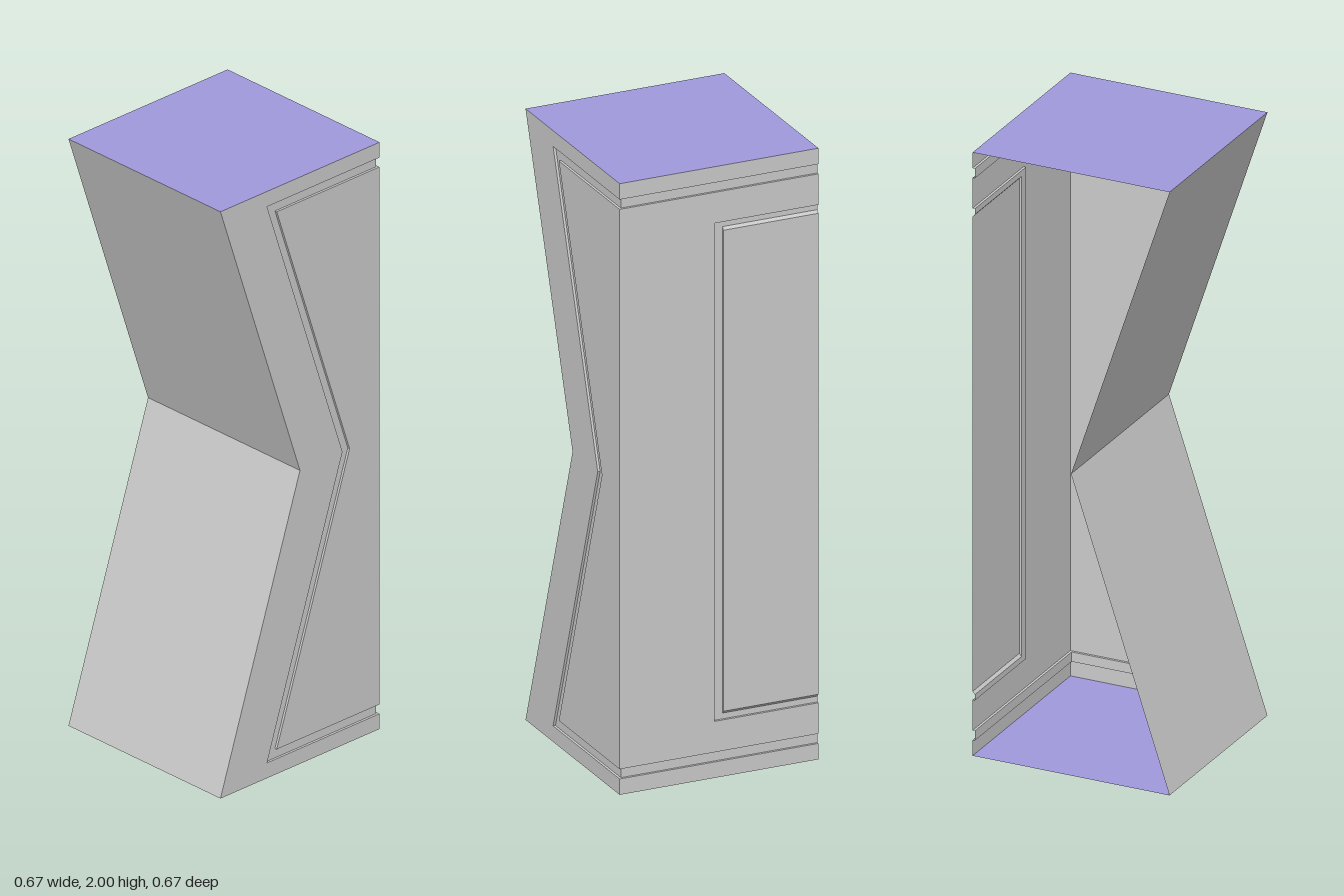
import * as THREE from 'three';

const R = 1 / 3;      // half width
const H = 2;          // height
const D = 0.008;      // groove depth

const grey = new THREE.MeshStandardMaterial({ color: 0xcccccc, side: THREE.DoubleSide, flatShading: true });
const violet = new THREE.MeshStandardMaterial({ color: 0xa098dc, side: THREE.DoubleSide });

function add(parent, name, geometry, material = grey) {
  const mesh = new THREE.Mesh(geometry, material);
  mesh.name = name;
  parent.add(mesh);
  return mesh;
}

// Flat polygon in the wall's own plane, at depth z
function sheet(parent, name, points, z = 0) {
  const shape = new THREE.Shape(points.map(([u, v]) => new THREE.Vector2(u, v)));
  add(parent, name, new THREE.ShapeGeometry(shape)).position.z = z;
}

// Side of a groove: joins a line on the surface to a line on the groove floor
function grooveSide(parent, top, floor = top) {
  const n = top.length;
  const geo = new THREE.PlaneGeometry(1, 1, n - 1, 1);
  for (let i = 0; i < n; i++) {
    geo.attributes.position.setXYZ(i, top[i][0], top[i][1], 0);
    geo.attributes.position.setXYZ(n + i, floor[i][0], floor[i][1], -D);
  }
  geo.computeVertexNormals();
  add(parent, 'grooveSide', geo);
}

// Mirror a half line (top to middle) about mid height
const mirrored = (pts) => [...pts, ...pts.map(([u, v]) => [u, H - v]).reverse()];
const band = (a, b) => [...a, ...[...b].reverse()];

export function createModel() {
  const model = new THREE.Group();
  model.name = 'foldedColumn';

  // Front wall: notched outline with a groove that follows it
  const front = new THREE.Group();
  front.name = 'frontWall';
  front.position.z = R;
  const chevron = (inset, top, end) => [
    [end, top], [-R * (top - 1) + inset, top], [inset, 1],
    [-R * (top - 1) + inset, H - top], [end, H - top],
  ];
  const rim = chevron(0, H, R);
  const outer = chevron(0.178, 1.948, R);
  const inner = chevron(0.208, 1.916, R);
  sheet(front, 'frontFrame', band(rim, outer));
  sheet(front, 'frontPanel', inner);
  sheet(front, 'frontGrooveFloor', band(chevron(0.178, 1.948, R - D), chevron(0.208, 1.916, R - D)), -D);
  grooveSide(front, outer);
  grooveSide(front, inner);
  model.add(front);

  // Right-hand wall: two horizontal grooves and a panel running off the back edge
  const side = new THREE.Group();
  side.name = 'sideWall';
  side.rotation.y = Math.PI / 2;
  side.position.x = R;
  const line = (y, start = -R) => [[start, y], [R, y]];
  for (const y of [(v) => v, (v) => H - v]) {
    sheet(side, 'sideEdgeStrip', band(line(y(H)), line(y(1.948))));
    sheet(side, 'sideGrooveFloor', band(line(y(1.948), -R + D), line(y(1.916), -R + D)), -D);
    grooveSide(side, line(y(1.948), -R + D));
    grooveSide(side, line(y(1.916), -R + D));
  }
  const field = mirrored([[R, 1.916], [-R, 1.916]]);
  const panelOuter = mirrored([[R, 1.815], [-0.015, 1.815]]);
  const panelFloor = mirrored([[R, 1.796], [0.015, 1.796]]);
  const panelInner = mirrored([[R, 1.787], [0.015, 1.787]]);
  sheet(side, 'sideField', band(field, panelOuter));
  sheet(side, 'sidePanelGrooveFloor', band(panelOuter, panelFloor), -D);
  sheet(side, 'sidePanel', panelInner);
  grooveSide(side, panelOuter);
  grooveSide(side, panelInner, panelFloor);
  model.add(side);

  // Opposite wall: one sheet creased inwards at mid height
  const fold = new THREE.PlaneGeometry(2 * R, H, 1, 2);
  fold.rotateY(-Math.PI / 2);
  fold.translate(-R, H / 2, 0);
  const p = fold.attributes.position;
  for (let i = 0; i < p.count; i++) p.setX(i, -R * Math.abs(p.getY(i) - 1));
  fold.computeVertexNormals();
  add(model, 'foldedWall', fold);

  // Coloured end plates
  for (const [name, y, turn] of [['topPlate', H, -1], ['bottomPlate', 0, 1]]) {
    const plate = add(model, name, new THREE.PlaneGeometry(2 * R, 2 * R), violet);
    plate.rotation.x = turn * Math.PI / 2;
    plate.position.y = y;
  }
  return model;
}
